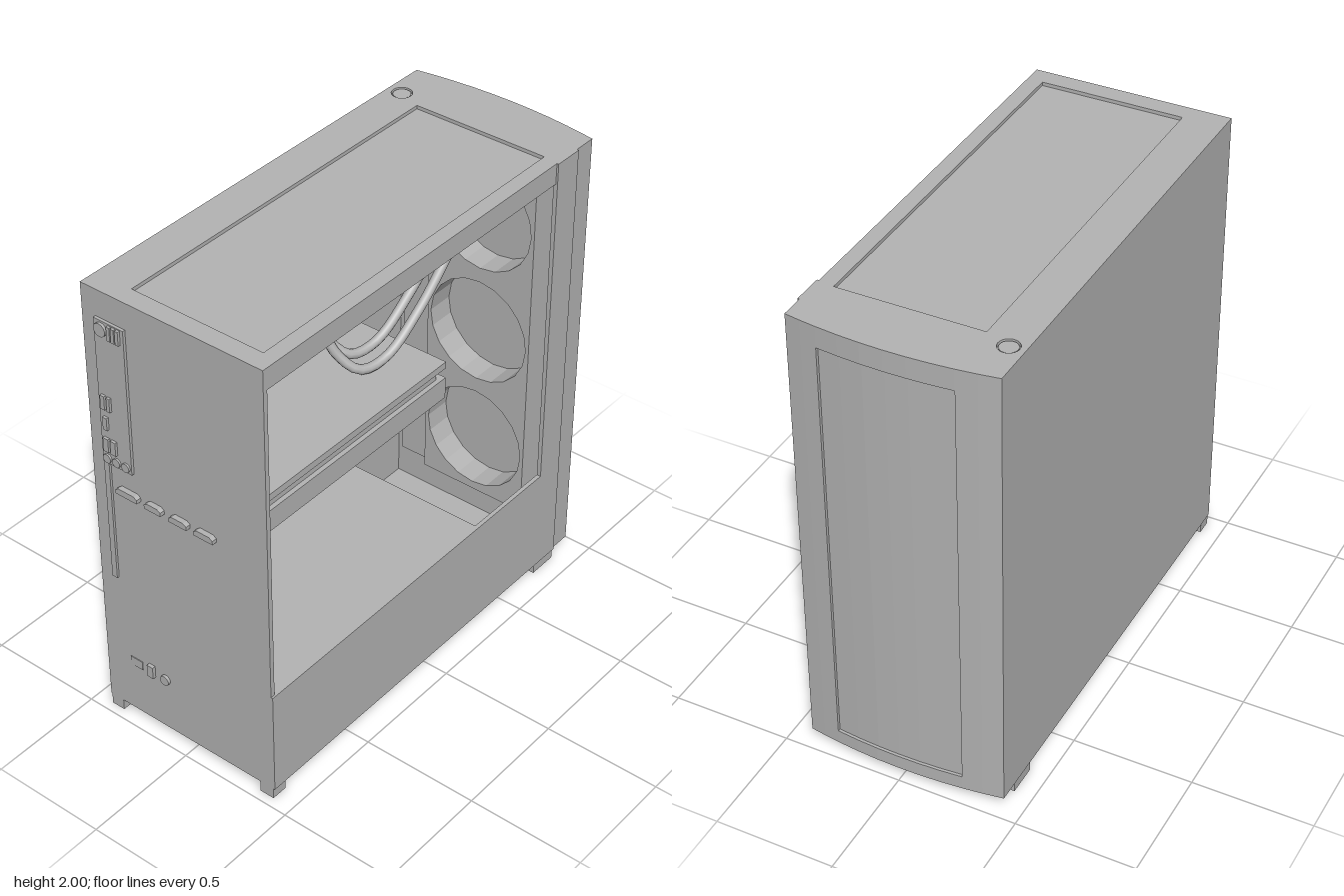
import * as THREE from 'three';

const grey = new THREE.MeshStandardMaterial({ color: 0xb3b3b3 });
grey.name = 'case grey';

export function createModel() {
  const model = new THREE.Group();
  model.name = 'computerTower';

  const add = (name, geo, parent = model) => {
    const m = new THREE.Mesh(geo, grey);
    m.name = name;
    parent.add(m);
    return m;
  };
  // Box from its min and max limits
  const box = (name, x0, x1, y0, y1, z0, z1) => {
    const g = new THREE.BoxGeometry(x1 - x0, y1 - y0, z1 - z0);
    g.translate((x0 + x1) / 2, (y0 + y1) / 2, (z0 + z1) / 2);
    return add(name, g);
  };
  const outline = (pts) => new THREE.Shape(pts.map(([a, b]) => new THREE.Vector2(a, b)));
  const rect = (a0, a1, b0, b1) => outline([[a0, b0], [a1, b0], [a1, b1], [a0, b1]]);
  const hole = (shape, a, b, r) => shape.holes.push(new THREE.Path().absarc(a, b, r, 0, Math.PI * 2, true));
  const extrude = (shape, depth) =>
    new THREE.ExtrudeGeometry(shape, { depth, bevelEnabled: false, curveSegments: 10 });
  // Plan shape (x, z) extruded between two heights
  const plan = (name, shape, y0, y1) => {
    const g = extrude(shape, y1 - y0);
    g.rotateX(Math.PI / 2);
    g.translate(0, y1, 0);
    return add(name, g);
  };
  // Short round plug pointing out of the +z wall
  const plug = (name, x, y, r, z0, z1) => {
    const g = new THREE.CylinderGeometry(r, r, z1 - z0, 14);
    g.rotateX(Math.PI / 2);
    g.translate(x, y, (z0 + z1) / 2);
    return add(name, g);
  };

  // Outer shell
  box('leftPanel', -0.425, -0.41, 0.05, 2, -0.85, 0.96);
  box('ioWall', -0.41, 0.41, 0.05, 1.91, 0.94, 0.96);
  box('bottomPanel', -0.41, 0.4, 0.05, 0.07, -0.85, 0.94);
  box('lowerSidePanel', 0.4, 0.418, 0.05, 0.52, -0.85, 0.96);
  box('cornerPost', 0.4, 0.418, 0.52, 2, -0.85, -0.72);

  // Roof with a sunken vent panel and a power button
  const roof = rect(-0.41, 0.41, -0.85, 0.96);
  const vent = [[-0.255, -0.73], [-0.255, 0.88], [0.345, 0.88], [0.345, -0.73]];
  roof.holes.push(new THREE.Path(vent.map(([x, z]) => new THREE.Vector2(x, z))));
  hole(roof, -0.36, -0.77, 0.042);
  plan('roofTop', roof, 1.985, 2);
  box('roofVent', -0.41, 0.41, 1.91, 1.985, -0.85, 0.96);
  const button = new THREE.CylinderGeometry(0.036, 0.036, 0.012, 20);
  button.translate(-0.36, 1.99, -0.77);
  add('powerButton', button);

  // Bowed panel, with a sunken strip between the two end caps
  const bow = (x) => -0.985 + 0.037 * (x / 0.42) ** 2;
  const panelShape = (recess) => {
    const pts = [[0.41, -0.85], [-0.425, -0.85]];
    const a = -0.26, b = 0.28, n = 6;
    const run = (x0, x1, steps, inset) => {
      for (let i = 0; i <= steps; i++) {
        const x = x0 + ((x1 - x0) * i) / steps;
        pts.push([x, bow(x) + inset]);
      }
    };
    run(-0.425, a, 2, 0);
    run(a + 0.001, b - 0.001, n, recess);
    run(b, 0.41, 2, 0);
    return outline(pts);
  };
  plan('bowedPanelBase', panelShape(0), 0.05, 0.11);
  plan('bowedPanel', panelShape(0.012), 0.11, 1.91);
  plan('bowedPanelCap', panelShape(0), 1.91, 2);

  // Feet
  for (const [x0, x1] of [[-0.42, -0.36], [0.345, 0.41]])
    for (const [z0, z1] of [[0.89, 0.96], [-0.85, -0.72]]) box('foot', x0, x1, 0, 0.05, z0, z1);

  // Power supply shroud
  box('shroudTop', -0.41, 0.4, 0.5, 0.52, -0.3, 0.94);
  box('shroudEnd', -0.41, 0.4, 0.07, 0.5, -0.3, -0.28);

  // Stack of three intake fans
  const intake = rect(-0.18, 0.32, 0.28, 1.89);
  for (const y of [0.55, 1.085, 1.62]) hole(intake, 0.07, y, 0.235);
  const intakeGeo = extrude(intake, 0.12);
  intakeGeo.translate(0, 0, -0.85);
  add('intakeFanFrame', intakeGeo);
  box('intakeSideRail', -0.33, -0.18, 0.28, 1.89, -0.85, -0.77);

  // Roof radiator with two fans
  const radiator = rect(-0.25, 0.3, -0.61, 0.7);
  for (const z of [0.37, -0.28]) hole(radiator, 0.025, z, 0.25);
  plan('radiatorFanFrame', radiator, 1.83, 1.85);
  box('radiator', -0.25, 0.3, 1.85, 1.91, -0.61, 0.7);

  // Motherboard, heatsink and memory sticks
  box('motherboard', -0.36, -0.335, 0.7, 1.885, -0.265, 0.97);
  box('ioBlock', -0.36, -0.22, 1.25, 1.885, 0.93, 0.972);
  box('heatsink', -0.335, -0.26, 1.32, 1.68, 0.705, 0.815);
  box('heatsinkRidge', -0.26, -0.24, 1.32, 1.68, 0.725, 0.795);
  for (const z of [-0.078, -0.098, -0.143, -0.166])
    box('memoryStick', -0.335, -0.2, 1.32, 1.68, z, z + 0.018);

  // Cooler pump
  const profile = [[0, 0], [0.165, 0], [0.165, 0.1], [0.155, 0.14], [0.135, 0.165], [0.11, 0.175], [0.11, 0.17], [0, 0.17]];
  const pump = new THREE.LatheGeometry(profile.map(([r, h]) => new THREE.Vector2(r, h)), 24);
  pump.rotateZ(-Math.PI / 2);
  pump.translate(-0.32, 1.5, 0.305);
  add('coolerPump', pump);
  box('pumpBracket', -0.335, -0.3, 1.39, 1.61, 0.19, 0.43);
  box('pumpFitting', -0.27, -0.17, 1.56, 1.62, 0.13, 0.2);

  // Coolant hoses
  for (const [dx, dy] of [[0, 0], [0.05, -0.05]]) {
    const path = [[-0.22, 1.6 + dy * 0.3, 0.14], [-0.19, 1.55, 0.07], [-0.1, 1.39, 0.02], [-0.03, 1.31, -0.04],
      [0, 1.315, -0.16], [0.02, 1.45, -0.34], [0.03, 1.65, -0.53], [0.03, 1.88, -0.74]];
    const curve = new THREE.CatmullRomCurve3(
      path.map(([x, y, z], i) => new THREE.Vector3(x + dx, y + (i > 1 ? dy : 0), z)));
    add('coolantHose', new THREE.TubeGeometry(curve, 40, 0.02, 10));
  }

  // Graphics card with two open fans on its underside
  box('cardBackplate', -0.335, 0.22, 1.2, 1.23, -0.32, 0.94);
  box('cardCore', -0.32, 0.2, 1.155, 1.2, -0.285, 0.9);
  const shroud = rect(-0.335, 0.22, -0.32, 0.94);
  const fanSpots = [0.6, 0.02];
  for (const z of fanSpots) hole(shroud, -0.057, z, 0.23);
  plan('cardShroud', shroud, 1.06, 1.155);
  for (const z of fanSpots) {
    const fan = new THREE.Group();
    fan.name = 'cardFan';
    fan.position.set(-0.057, 1.1, z);
    add('fanHub', new THREE.CylinderGeometry(0.065, 0.065, 0.05, 16), fan);
    for (let i = 0; i < 6; i++) {
      const g = extrude(outline([[0.05, -0.03], [0.22, -0.055], [0.22, 0.055], [0.05, 0.03]]), 0.012);
      g.rotateX(Math.PI / 2 + 0.25);
      g.rotateY((i * Math.PI) / 3);
      add('fanBlade', g, fan);
    }
    model.add(fan);
  }

  // Sockets on the motherboard block: x0, x1, y0, y1
  const sockets = [[-0.29, -0.275, 1.82, 1.88], [-0.27, -0.255, 1.82, 1.88], [-0.25, -0.235, 1.82, 1.88],
    [-0.345, -0.325, 1.5, 1.56], [-0.315, -0.3, 1.5, 1.56], [-0.34, -0.32, 1.41, 1.465],
    [-0.345, -0.32, 1.31, 1.37], [-0.31, -0.285, 1.31, 1.37]];
  for (const [x0, x1, y0, y1] of sockets) box('ioSocket', x0, x1, y0, y1, 0.97, 0.983);
  plug('ioRoundSocket', -0.325, 1.85, 0.028, 0.97, 0.983);
  for (const x of [-0.335, -0.29, -0.245]) plug('audioSocket', x, 1.275, 0.019, 0.97, 0.98);

  // Display sockets of the graphics card
  for (const [x0, x1] of [[-0.3, -0.195], [-0.16, -0.08], [-0.04, 0.045], [0.08, 0.17]]) {
    const g = extrude(outline([[x0, 1.135], [x1, 1.135], [x1, 1.152], [x1 - 0.015, 1.162], [x0 + 0.015, 1.162], [x0, 1.152]]), 0.025);
    g.translate(0, 0, 0.957);
    add('displaySocket', g);
  }

  // Power inlet and switch
  box('powerSwitch', -0.205, -0.175, 0.28, 0.335, 0.955, 0.975);
  box('powerInlet', -0.3, -0.24, 0.28, 0.32, 0.955, 0.963);
  plug('supplyButton', -0.12, 0.3, 0.022, 0.955, 0.972);

  return model;
}
